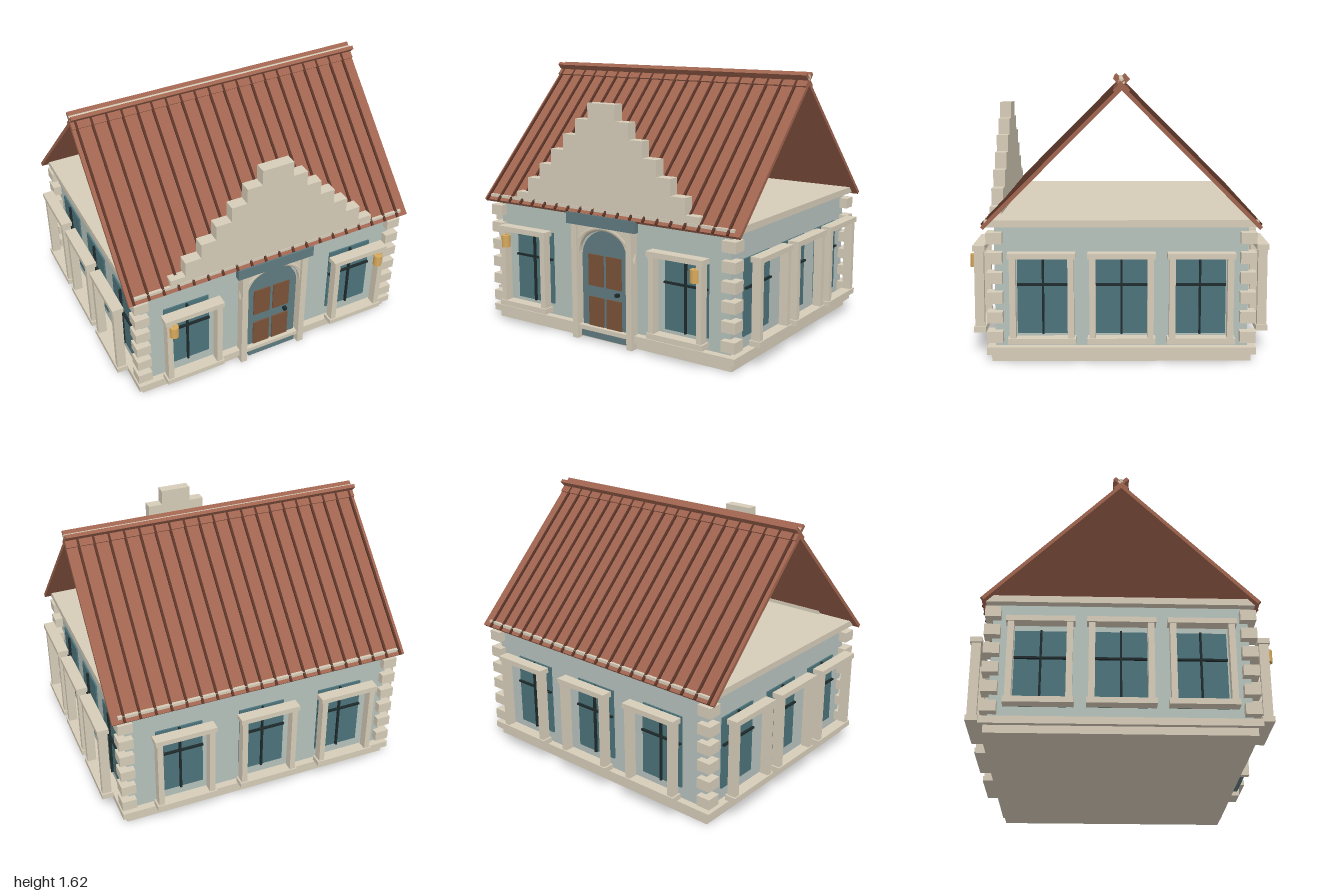
import * as THREE from 'three';

const mat = (color) => new THREE.MeshStandardMaterial({ color });
const STONE = mat(0xd6ccb8), WALL = mat(0xb6c2bc), GLASS = mat(0x4c737a), DARK = mat(0x1f2a2c);
const ROOF = mat(0xa0654f), BATTEN = mat(0x5a3428), SLATE = mat(0x5f7a80), WOOD = mat(0x7a5238), GOLD = mat(0xd9aa5c);
const CZ = -0.005; // depth centre of the house

function add(parent, name, geo, material, x = 0, y = 0, z = 0) {
  const m = new THREE.Mesh(geo, material);
  m.name = name;
  m.position.set(x, y, z);
  parent.add(m);
  return m;
}

// box given by its limits on each axis
function box(parent, name, material, x0, x1, y0, y1, z0, z1) {
  return add(parent, name, new THREE.BoxGeometry(x1 - x0, y1 - y0, z1 - z0), material,
    (x0 + x1) / 2, (y0 + y1) / 2, (z0 + z1) / 2);
}

// window facing local +z, with the wall surface at z = 0
function makeWindow() {
  const g = new THREE.Group();
  g.name = 'window';
  box(g, 'glass', GLASS, -0.147, 0.147, 0.16, 0.615, -0.01, 0.01);
  box(g, 'verticalBar', DARK, -0.006, 0.006, 0.16, 0.615, 0.01, 0.025);
  box(g, 'horizontalBar', DARK, -0.147, 0.147, 0.44, 0.452, 0.01, 0.025);
  for (const s of [-1, 1])
    add(g, 'jamb', new THREE.BoxGeometry(0.035, 0.46, 0.055), STONE, s * 0.162, 0.39, 0.105);
  box(g, 'lintel', STONE, -0.19, 0.19, 0.615, 0.647, 0.07, 0.14);
  box(g, 'sill', STONE, -0.19, 0.19, 0.132, 0.165, 0.07, 0.14);
  return g;
}

function buildWindows(house) {
  const put = (x, z, turn) => {
    const w = makeWindow();
    w.position.set(x, 0, z);
    w.rotation.y = turn;
    house.add(w);
  };
  for (const x of [-0.57, 0.57]) put(x, 0.715, 0);
  for (const x of [-0.535, -0.005, 0.53]) put(x, -0.725, Math.PI);
  for (const s of [-1, 1])
    for (const z of [0.44, CZ, -0.45]) put(s * 0.858, z, s * Math.PI / 2);
}

function buildBody(house) {
  box(house, 'lowerPlinth', STONE, -0.88, 0.88, 0, 0.045, -0.745, 0.735);
  box(house, 'upperPlinth', STONE, -0.91, 0.91, 0.045, 0.087, -0.77, 0.76);
  box(house, 'walls', WALL, -0.858, 0.858, 0.087, 0.78, -0.725, 0.715);
  box(house, 'ceilingSlab', STONE, -0.905, 0.905, 0.78, 0.82, -0.775, 0.765);
  // corner blocks
  for (const sx of [-1, 1]) for (const sz of [-1, 1]) for (let i = 0; i < 6; i++)
    add(house, 'cornerBlock', new THREE.BoxGeometry(0.09, 0.065, 0.09), STONE,
      sx * 0.865, 0.147 + i * 0.114, CZ + sz * 0.717);
}

function buildRoof(house) {
  const roof = new THREE.Group();
  roof.name = 'roof';
  const length = 1.1;
  for (const s of [-1, 1]) {
    const slope = new THREE.Group();
    slope.name = 'roofSlope';
    slope.position.set(0, 1.168, CZ + s * 0.389);
    slope.rotation.x = s * Math.PI / 4;
    add(slope, 'roofPanel', new THREE.BoxGeometry(1.89, 0.022, length), ROOF);
    for (let i = 0; i < 20; i++)
      add(slope, 'batten', new THREE.BoxGeometry(0.014, 0.012, length), BATTEN, -0.915 + i * 0.094, 0.016, 0);
    roof.add(slope);
    // crossed strips along the ridge
    const strip = add(roof, 'ridgeStrip', new THREE.BoxGeometry(1.89, 0.022, 0.11), ROOF, 0, 1.572, CZ);
    strip.rotation.x = s * Math.PI / 4;
  }
  const cap = add(roof, 'ridgeCap', new THREE.CylinderGeometry(0.018, 0.018, 1.89, 12), STONE, 0, 1.588, CZ);
  cap.rotation.z = Math.PI / 2;
  house.add(roof);
}

// crow-stepped parapet above the entrance
function buildGable(house) {
  const halves = [0.68, 0.585, 0.485, 0.39, 0.292, 0.195, 0.1];
  const top = (i) => 0.86 + i * 0.0975;
  const right = [[halves[0], 0.8]];
  halves.forEach((h, i) => {
    right.push([h, top(i)]);
    if (i < halves.length - 1) right.push([halves[i + 1], top(i)]);
  });
  const left = right.map(([x, y]) => [-x, y]).reverse();
  const shape = new THREE.Shape([...right, ...left].map(([x, y]) => new THREE.Vector2(x, y)));
  add(house, 'steppedGable', new THREE.ExtrudeGeometry(shape, { depth: 0.07, bevelEnabled: false }),
    STONE, 0, 0, 0.692);
}

// outline with straight sides and a round top
function archPath(Type, r, base, spring) {
  const p = new Type();
  p.moveTo(-r, base);
  p.lineTo(r, base);
  p.lineTo(r, spring);
  p.absarc(0, spring, r, 0, Math.PI, false);
  p.lineTo(-r, base);
  return p;
}

function buildEntrance(house) {
  const door = new THREE.Group();
  door.name = 'entrance';
  add(door, 'doorLeaf', new THREE.ExtrudeGeometry(archPath(THREE.Shape, 0.175, 0.06, 0.51),
    { depth: 0.05, bevelEnabled: false, curveSegments: 16 }), SLATE, 0, 0, 0.69);
  for (const x of [-0.068, 0.066]) {
    box(door, 'doorPanel', WOOD, x - 0.056, x + 0.056, 0.34, 0.535, 0.735, 0.748);
    box(door, 'doorPanel', WOOD, x - 0.056, x + 0.056, 0.08, 0.27, 0.735, 0.748);
  }
  box(door, 'doorHandle', DARK, 0.085, 0.107, 0.3, 0.32, 0.735, 0.765);
  box(door, 'doorStep', SLATE, -0.165, 0.165, 0.02, 0.06, 0.72, 0.77);
  box(door, 'threshold', STONE, -0.185, 0.185, 0.06, 0.087, 0.72, 0.772);
  for (const s of [-1, 1])
    add(door, 'post', new THREE.BoxGeometry(0.04, 0.735, 0.06), STONE, s * 0.205, 0.3675, 0.755);

  // spandrels above the arch
  const spandrel = new THREE.Shape();
  spandrel.moveTo(0.19, 0.53);
  spandrel.lineTo(0.19, 0.73);
  spandrel.lineTo(-0.19, 0.73);
  spandrel.lineTo(-0.19, 0.53);
  spandrel.lineTo(-0.182, 0.53);
  spandrel.absarc(0, 0.53, 0.182, Math.PI, 0, true);
  add(door, 'archSpandrel', new THREE.ExtrudeGeometry(spandrel,
    { depth: 0.03, bevelEnabled: false, curveSegments: 16 }), STONE, 0, 0, 0.735);
  const arch = add(door, 'archMoulding', new THREE.TorusGeometry(0.21, 0.025, 8, 24, Math.PI), STONE, 0, 0.53, 0.745);
  arch.scale.y = 0.85;
  box(door, 'signBoard', SLATE, -0.256, 0.256, 0.715, 0.786, 0.755, 0.79);
  house.add(door);
}

function buildLanterns(house) {
  for (const s of [-1, 1]) {
    const lantern = new THREE.Group();
    lantern.name = 'lantern';
    add(lantern, 'lanternBody', new THREE.CylinderGeometry(0.027, 0.027, 0.075, 14), GOLD, 0, 0, 0.012);
    add(lantern, 'lanternPlate', new THREE.BoxGeometry(0.036, 0.085, 0.025), GOLD, s * 0.014, 0, 0);
    lantern.position.set(s * 0.705, 0.553, 0.835);
    house.add(lantern);
  }
}

export function createModel() {
  const house = new THREE.Group();
  house.name = 'house';
  buildBody(house);
  buildWindows(house);
  buildRoof(house);
  buildGable(house);
  buildEntrance(house);
  buildLanterns(house);
  return house;
}
